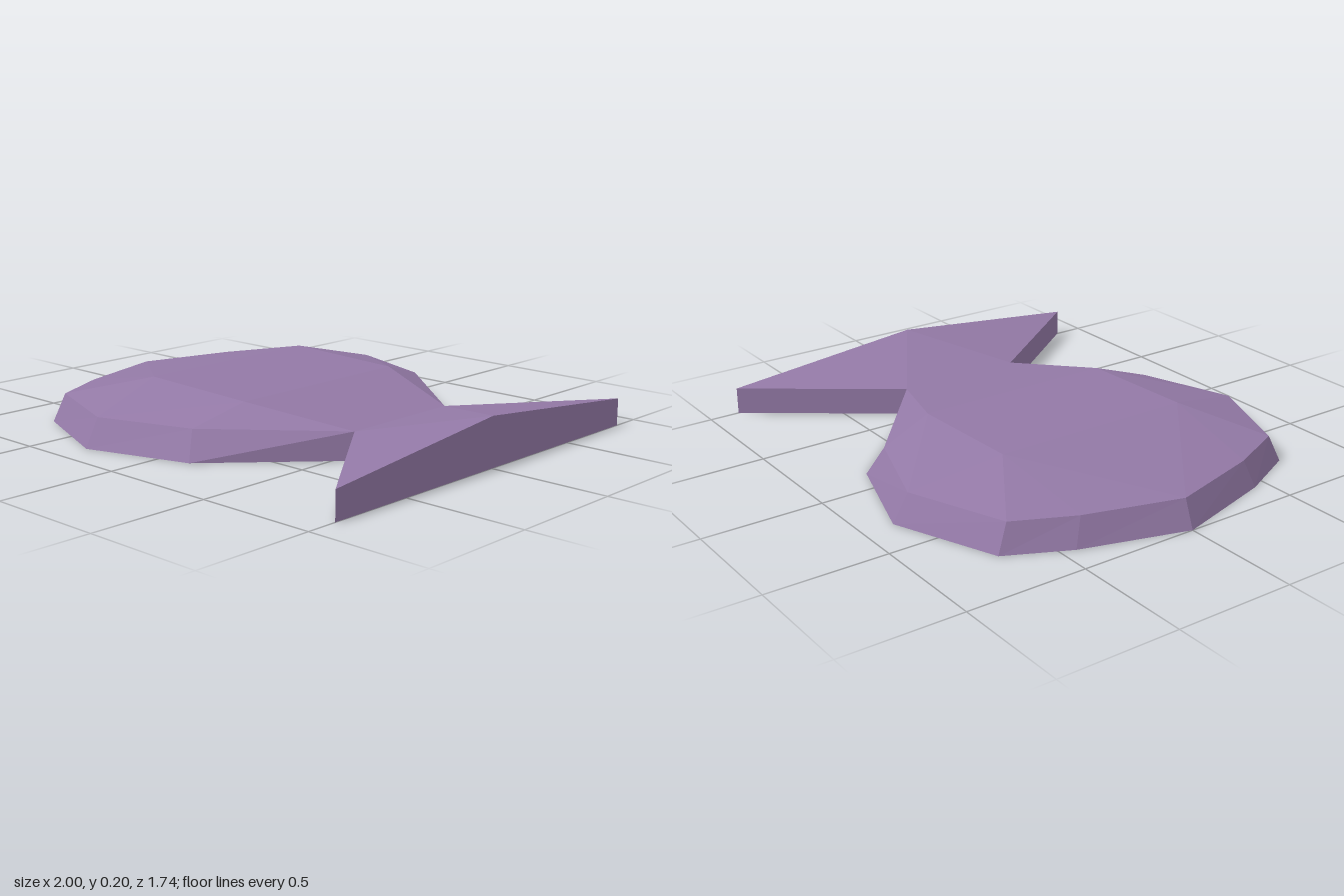
import * as THREE from 'three';

// Key points of the +z half; the other half is mirrored
const P = {
  // base outline
  b0: [-1, 0, 0], b1: [-0.87, 0, 0.44], b2: [-0.745, 0, 0.695], b3: [-0.31, 0, 0.87],
  b4: [0.13, 0, 0.73], bn: [0.56, 0, 0.275], bt: [1, 0, 0.87], be: [1, 0, 0],
  bm: [0.56, 0, 0], bc: [-0.2, 0, 0],
  // upper rim
  r0: [-0.955, 0.115, 0], r1: [-0.84, 0.115, 0.4], r2: [-0.725, 0.115, 0.645],
  r3: [-0.315, 0.115, 0.805], r4: [0.085, 0.115, 0.67], n: [0.56, 0.115, 0.275], t: [1, 0.115, 0.87],
  // raised back and tail centre line
  a: [-0.4, 0.203, 0.435], a0: [-0.4, 0.203, 0], k: [0.13, 0.187, 0.435], k0: [0.13, 0.187, 0],
  m: [0.56, 0.115, 0], e: [1, 0.203, 0],
};

// Builds convex faces, fanned into triangles, on both sides of the centre plane
function mirroredFaces(faces) {
  const pos = [];
  for (const side of [1, -1]) {
    for (const face of faces) {
      const pts = face.split(' ').map((key) => [P[key][0], P[key][1], P[key][2] * side]);
      if (side < 0) pts.reverse();
      for (let i = 1; i < pts.length - 1; i++) pos.push(...pts[0], ...pts[i], ...pts[i + 1]);
    }
  }
  const geo = new THREE.BufferGeometry();
  geo.setAttribute('position', new THREE.Float32BufferAttribute(pos, 3));
  geo.computeVertexNormals();
  return geo;
}

export function createModel() {
  const group = new THREE.Group();
  group.name = 'fish';
  const purple = new THREE.MeshStandardMaterial({ color: 0x9379a6 });
  purple.name = 'dusty purple';
  purple.flatShading = true;

  const add = (name, faces) => {
    const mesh = new THREE.Mesh(mirroredFaces(faces), purple);
    mesh.name = name;
    group.add(mesh);
  };

  // Faceted domed top of the body
  add('bodyTop', [
    'r0 r1 a', 'r0 a a0', 'r1 r2 a', 'r2 r3 a', 'r3 k a',
    'r3 r4 k', 'r4 n k', 'a k k0 a0', 'k n m k0',
  ]);

  // Sloping rim wall and flat underside of the body
  const base = ['b0', 'b1', 'b2', 'b3', 'b4', 'bn'];
  const rim = ['r0', 'r1', 'r2', 'r3', 'r4', 'n'];
  const walls = [];
  const under = ['bc bm bn'];
  for (let i = 0; i < 5; i++) {
    walls.push(`${base[i]} ${base[i + 1]} ${rim[i + 1]} ${rim[i]}`);
    under.push(`bc ${base[i + 1]} ${base[i]}`);
  }
  add('bodyRim', walls);
  add('bodyUnderside', under);

  // Flared tail fin: top, side, end and underside
  add('tailFin', ['n t e', 'n e m', 'bn bt t n', 'bt be e t', 'bn bm be bt']);
  return group;
}
